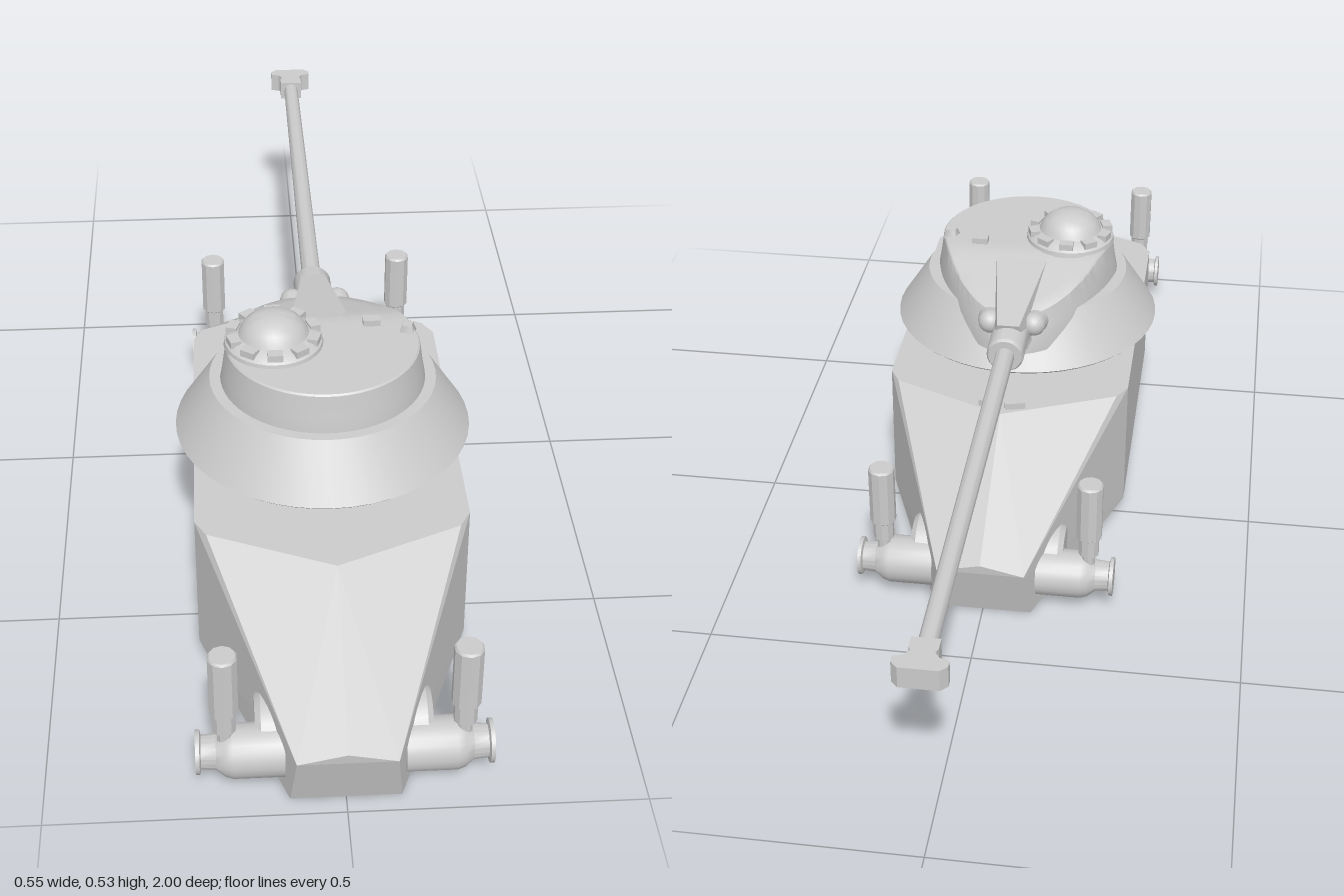
import * as THREE from 'three';
import { toCreasedNormals } from 'three/addons/utils/BufferGeometryUtils.js';
import { ConvexGeometry } from 'three/addons/geometries/ConvexGeometry.js';

const grey = new THREE.MeshStandardMaterial({ color: 0xcccccc });
const greyFlat = new THREE.MeshStandardMaterial({ color: 0xcccccc, flatShading: true });
const MID = 0.306; // z of the hull's middle, where the turret sits

function add(parent, name, geometry, x = 0, y = 0, z = 0, material = grey) {
  const mesh = new THREE.Mesh(geometry, material);
  mesh.name = name;
  mesh.position.set(x, y, z);
  parent.add(mesh);
  return mesh;
}

// Turned solid from [radius, height] pairs, bottom to top
function turned(profile, sides) {
  const points = profile.map(([r, h]) => new THREE.Vector2(r, h));
  return toCreasedNormals(new THREE.LatheGeometry(points, sides), 0.6);
}

// Faceted hull, the same at both ends and on both sides
function hullGeometry() {
  const corners = [
    [0, 0.132, 0.694], [0.083, 0.112, 0.692], [0.093, 0.005, 0.662], // nose
    [0, 0.296, 0.42], [0.22, 0.296, 0.325], [0.24, 0.296, 0.29],     // deck
    [0.24, 0.03, 0.296], [0.14, 0.005, 0.296],                       // belly
  ];
  const points = [];
  for (const [x, y, z] of corners) {
    for (const sx of x ? [1, -1] : [1]) {
      for (const sz of [1, -1]) points.push(new THREE.Vector3(sx * x, y, sz * z));
    }
  }
  return new ConvexGeometry(points);
}

// Drum drawn out into a sloping, narrowing nose towards the gun
function turretTopGeometry() {
  const profile = [[0, 0.34], [0.19, 0.34], [0.188, 0.402], [0.183, 0.43], [0.177, 0.472], [0.174, 0.475]];
  for (let i = 7; i >= 0; i--) profile.push([0.174 * i / 8, 0.475]);
  const geometry = new THREE.LatheGeometry(profile.map(([r, h]) => new THREE.Vector2(r, h)), 64);
  const p = geometry.attributes.position;
  for (let i = 0; i < p.count; i++) {
    const z = p.getZ(i);
    if (z >= 0) continue;
    const t = -z / 0.19;
    const newZ = z * 1.4;
    p.setX(i, p.getX(i) * (1 - 0.2 * t));
    p.setZ(i, newZ);
    const drop = 0.34 * Math.max(0, -newZ - 0.08);
    p.setY(i, p.getY(i) - drop * Math.min(1, Math.max(0, (p.getY(i) - 0.34) / 0.135)));
  }
  return toCreasedNormals(geometry, 0.6);
}

function addCupola(parent) {
  const cupola = new THREE.Group();
  cupola.name = 'cupola';
  cupola.position.set(-0.089, 0.472, 0);
  add(cupola, 'cupolaDome', turned([[0, 0], [0.091, 0], [0.089, 0.01], [0.08, 0.018], [0.064, 0.024],
    [0.061, 0.03], [0.052, 0.044], [0.037, 0.055], [0.02, 0.06], [0, 0.062]], 32));
  for (let i = 0; i < 10; i++) {
    const a = i / 10 * Math.PI * 2;
    const block = add(cupola, 'periscope', new THREE.BoxGeometry(0.028, 0.013, 0.02),
      Math.sin(a) * 0.076, 0.021, Math.cos(a) * 0.076);
    block.rotation.y = a;
  }
  parent.add(cupola);
}

function addGun(parent) {
  const gun = new THREE.Group();
  gun.name = 'gun';
  gun.position.y = 0.387;
  // Sleeve and barrel turned along -z
  const sleeve = add(gun, 'gunSleeve', turned([[0, -0.2], [0.04, -0.2], [0.04, -0.05], [0.037, -0.03],
    [0.037, 0.04], [0.033, 0.046], [0, 0.046]], 24));
  const barrel = add(gun, 'barrel', turned([[0, 0], [0.019, 0], [0.016, 0.95], [0, 0.95]], 20));
  sleeve.rotation.x = barrel.rotation.x = -Math.PI / 2;

  // Flared muzzle brake
  const half = [[0.024, 0.925], [0.024, 0.948], [0.02, 0.958], [0.028, 0.969], [0.045, 0.974], [0.045, 0.988], [0.033, 1]];
  const outline = [...half, ...half.map(([x, z]) => [-x, z]).reverse()];
  const shape = new THREE.Shape(outline.map(([x, z]) => new THREE.Vector2(x, z)));
  const brake = new THREE.ExtrudeGeometry(shape, { depth: 0.04, bevelEnabled: false });
  brake.translate(0, 0, -0.02).rotateX(-Math.PI / 2);
  add(gun, 'muzzleBrake', brake);

  // Cheeks clasping the gun root
  for (const s of [-1, 1]) {
    const cheek = add(gun, 'gunCheek', new THREE.CapsuleGeometry(0.024, 0.1, 6, 14), s * 0.05, 0.008, 0.105);
    cheek.rotation.set(Math.PI / 2 + 0.2, 0, s * -0.12);
  }
  // Sloping cover over the gun root
  const cover = [];
  for (const s of [-1, 1]) {
    cover.push(new THREE.Vector3(s * 0.055, 0.086, 0.23), new THREE.Vector3(s * 0.07, 0, 0.23),
      new THREE.Vector3(s * 0.022, 0.042, 0.0), new THREE.Vector3(s * 0.036, -0.02, 0.02));
  }
  add(gun, 'gunCover', new ConvexGeometry(cover), 0, 0, 0, greyFlat);
  parent.add(gun);
}

// Side hub with its round mount and upright canister
function addCornerUnit(parent, sx, sz) {
  const unit = new THREE.Group();
  unit.name = 'cornerUnit';
  const mount = add(unit, 'hubMount', turned([[0, 0.06], [0.069, 0.06], [0.069, 0.138], [0.06, 0.148], [0, 0.148]], 28),
    0, 0.071, sz * 0.566);
  const hub = add(unit, 'hub', turned([[0, 0.1], [0.046, 0.1], [0.046, 0.185], [0.042, 0.198], [0.03, 0.213],
    [0.028, 0.238], [0.037, 0.24], [0.037, 0.247], [0, 0.247]], 20), 0, 0.071, sz * 0.613);
  mount.rotation.z = hub.rotation.z = -sx * Math.PI / 2;
  add(unit, 'canister', turned([[0, 0.08], [0.013, 0.08], [0.013, 0.125], [0.02, 0.127], [0.02, 0.163],
    [0.025, 0.167], [0.025, 0.282], [0.022, 0.286], [0, 0.286]], 10), sx * 0.198, 0, sz * 0.616);
  parent.add(unit);
}

export function createModel() {
  const model = new THREE.Group();
  model.name = 'tank';

  const body = new THREE.Group();
  body.name = 'body';
  body.position.z = MID;
  model.add(body);
  add(body, 'hull', hullGeometry(), 0, 0, 0, greyFlat);
  for (const sx of [-1, 1]) for (const sz of [-1, 1]) addCornerUnit(body, sx, sz);

  // Turret: sloping skirt, drawn-out drum, cupola and roof fittings
  add(body, 'turretSkirt', turned([[0, 0.29], [0.26, 0.29], [0.273, 0.302], [0.208, 0.402], [0, 0.402]], 48));
  add(body, 'turretTop', turretTopGeometry());
  addCupola(body);
  add(body, 'roofBlock', new THREE.BoxGeometry(0.032, 0.016, 0.02), 0.093, 0.479, -0.05);
  const sight = add(body, 'roofSight', new THREE.CylinderGeometry(0.012, 0.02, 0.018, 4), 0.157, 0.479, -0.025);
  sight.rotation.y = 0.5;

  // Small curved rails on the rear deck
  for (const s of [-1, 1]) {
    const rail = add(body, 'deckRail', new THREE.BoxGeometry(0.04, 0.014, 0.01), s * 0.026, 0.302, -0.394);
    rail.rotation.y = s * -0.25;
  }

  addGun(model);
  return model;
}
